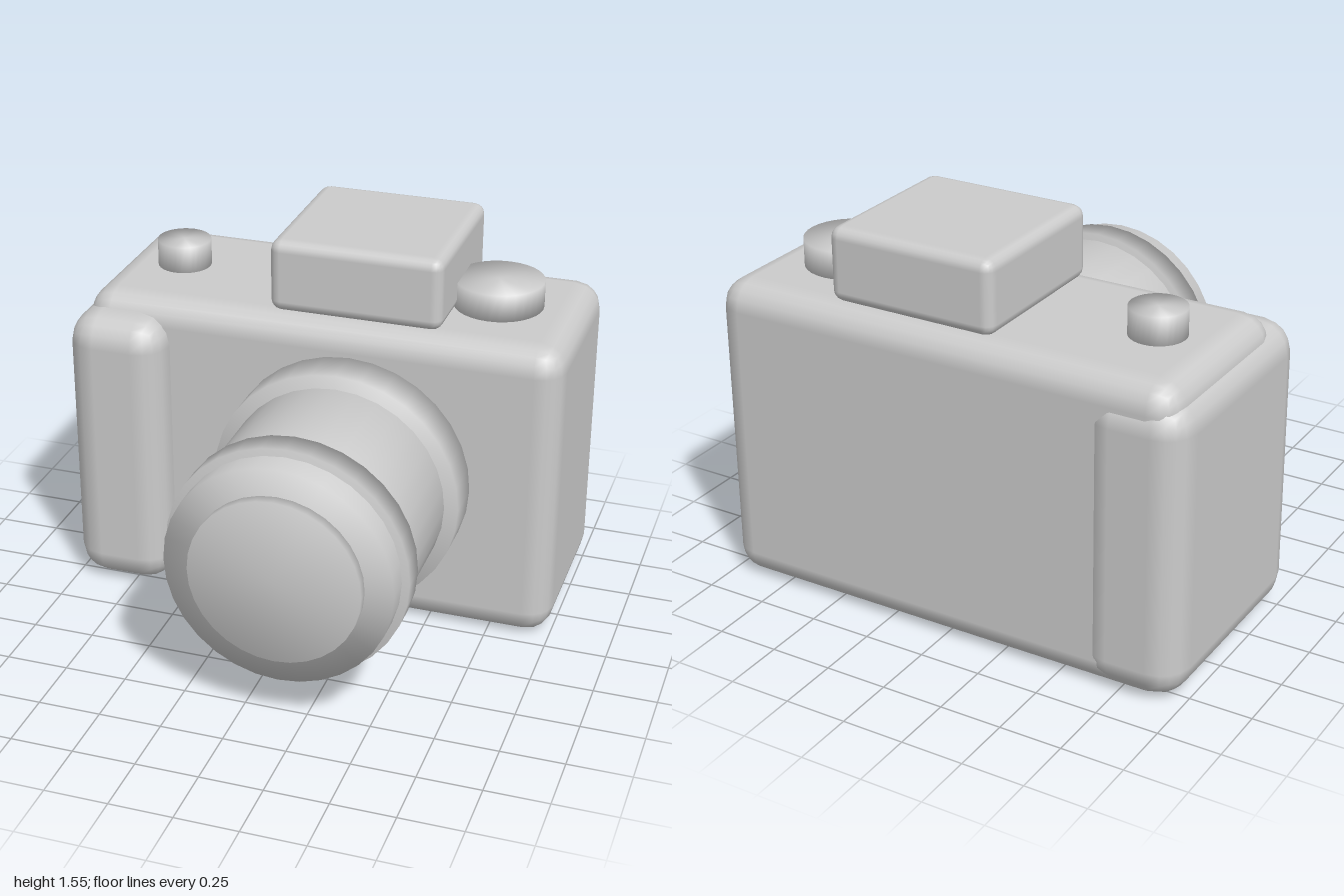
import * as THREE from 'three';
import { mergeVertices } from 'three/addons/utils/BufferGeometryUtils.js';
import { RoundedBoxGeometry } from 'three/addons/geometries/RoundedBoxGeometry.js';

const material = new THREE.MeshStandardMaterial({ color: 0xcccccc });

// Rounded box given by its extents on each axis
function roundedBox(name, [x0, x1], [y0, y1], [z0, z1], radius) {
  const geometry = new RoundedBoxGeometry(x1 - x0, y1 - y0, z1 - z0, 2, radius);
  const mesh = new THREE.Mesh(geometry, material);
  mesh.name = name;
  mesh.position.set((x0 + x1) / 2, (y0 + y1) / 2, (z0 + z1) / 2);
  return mesh;
}

// Capped cylinder along y, with normals smoothed softly over its rims
function softCylinder(name, radius, length) {
  let geometry = new THREE.CylinderGeometry(radius, radius, length, 32);
  geometry.deleteAttribute('normal');
  geometry.deleteAttribute('uv');
  geometry = mergeVertices(geometry);
  geometry.computeVertexNormals();
  const mesh = new THREE.Mesh(geometry, material);
  mesh.name = name;
  return mesh;
}

export function createModel() {
  const model = new THREE.Group();
  model.name = 'camera';

  // Body, hand grip and viewfinder hump
  model.add(
    roundedBox('body', [-0.96, 1], [0, 1.26], [-0.86, -0.03], 0.11),
    roundedBox('grip', [-1, -0.59], [0.01, 1.2], [-0.875, 0.1], 0.125),
    roundedBox('viewfinder', [-0.195, 0.505], [1.255, 1.55], [-0.79, -0.1], 0.045)
  );

  // Top controls
  for (const [name, x, radius] of [['shutterButton', -0.68, 0.11], ['modeDial', 0.65, 0.18]]) {
    const control = softCylinder(name, radius, 0.12);
    control.position.set(x, 1.31, -0.445);
    model.add(control);
  }

  // Lens: stacked cylinders along z
  const lens = new THREE.Group();
  lens.name = 'lens';
  lens.position.set(0.16, 0.635, 0);
  const sections = [
    ['lensMount', 0.5, -0.06, 0.145],
    ['lensBarrel', 0.445, -0.06, 0.83],
    ['focusRing', 0.475, 0.62, 0.73],
    ['frontGlass', 0.335, 0.79, 0.875]
  ];
  for (const [name, radius, z0, z1] of sections) {
    const part = softCylinder(name, radius, z1 - z0);
    part.rotation.x = Math.PI / 2;
    part.position.z = (z0 + z1) / 2;
    lens.add(part);
  }
  model.add(lens);

  return model;
}
